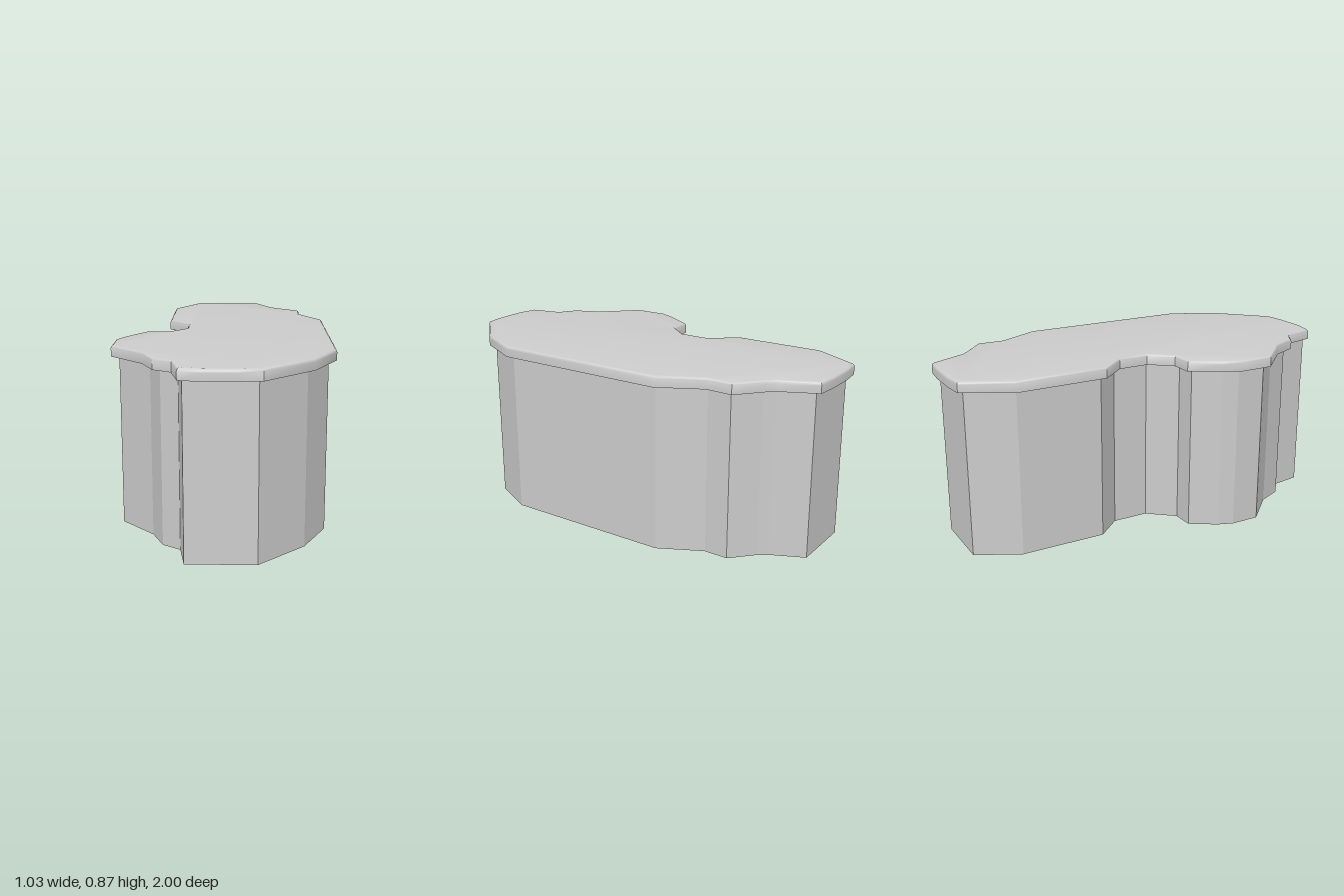
import * as THREE from 'three';
import { toCreasedNormals, mergeGeometries } from 'three/addons/utils/BufferGeometryUtils.js';

// Plan outlines as [x, z], running counter-clockwise seen from above
const WALL = [
  [0.158, 0.96], [0.37, 0.75], [0.478, 0.53], [0.478, -0.325], [0.37, -0.535], [0.373, -0.655],
  [0.265, -0.755], [0.232, -0.8], [0.157, -0.96], [-0.161, -0.96], [-0.27, -0.75], [-0.27, -0.325],
  [-0.163, -0.2], [-0.163, -0.02], [-0.27, 0.107], [-0.375, 0.11], [-0.455, 0.235], [-0.483, 0.31],
  [-0.483, 0.455], [-0.325, 0.62], [-0.27, 0.745], [-0.187, 0.8], [-0.162, 0.96],
];
const LID = [
  [0.07, 1], [0.175, 0.987], [0.4, 0.767], [0.514, 0.54], [0.514, -0.335], [0.405, -0.545], [0.41, -0.678],
  [0.29, -0.78], [0.258, -0.815], [0.175, -0.99], [0.07, -1], [-0.08, -1], [-0.18, -0.99], [-0.306, -0.76],
  [-0.304, -0.31], [-0.198, -0.185], [-0.198, -0.035], [-0.285, 0.071], [-0.395, 0.074], [-0.486, 0.22],
  [-0.52, 0.3], [-0.52, 0.47], [-0.357, 0.638], [-0.302, 0.767], [-0.216, 0.82], [-0.182, 0.977], [-0.08, 1],
];
const RIM = 0.815, TOP = 0.868;

// Move an outline inward by d with mitred corners
function inset(points, d) {
  const n = points.length;
  const normals = points.map(([x, z], i) => {
    const [x2, z2] = points[(i + 1) % n];
    return new THREE.Vector2(z - z2, x2 - x).normalize();
  });
  return points.map(([x, z], i) => {
    const a = normals[(i + n - 1) % n], b = normals[i];
    const k = d / (1 + a.dot(b));
    return [x - (a.x + b.x) * k, z - (a.y + b.y) * k];
  });
}

// Side faces through stacked rings { y, points }
function loft(rings) {
  const pos = [];
  for (let r = 0; r < rings.length - 1; r++) {
    const lo = rings[r], hi = rings[r + 1], n = lo.points.length;
    for (let i = 0; i < n; i++) {
      const j = (i + 1) % n;
      const at = (ring, k) => [ring.points[k][0], ring.y, ring.points[k][1]];
      const a = at(lo, i), b = at(lo, j), c = at(hi, j), d = at(hi, i);
      pos.push(...a, ...b, ...c, ...a, ...c, ...d);
    }
  }
  const geo = new THREE.BufferGeometry();
  geo.setAttribute('position', new THREE.Float32BufferAttribute(pos, 3));
  geo.computeVertexNormals();
  return geo;
}

// Flat face filling an outline at height y
function cap(points, y, up) {
  const shape = new THREE.Shape(points.map(([x, z]) => new THREE.Vector2(x, -z)));
  const geo = new THREE.ShapeGeometry(shape).rotateX(-Math.PI / 2).translate(0, y, 0);
  if (!up) geo.index.array.reverse();
  const flat = geo.toNonIndexed();
  flat.deleteAttribute('uv');
  flat.computeVertexNormals();
  return flat;
}

export function createModel() {
  const group = new THREE.Group();

  // Hollow wall, open underneath
  const wall = new THREE.Mesh(
    loft([{ y: 0, points: WALL }, { y: RIM, points: WALL }]),
    new THREE.MeshStandardMaterial({ color: 0xcccccc, flatShading: true, side: THREE.DoubleSide }),
  );
  wall.name = 'wall';
  group.add(wall);

  // Overhanging lid with a rounded upper edge
  const radius = 0.016, steps = 4;
  const rings = [{ y: RIM, points: LID }];
  for (let i = 0; i <= steps; i++) {
    const t = (i / steps) * Math.PI / 2;
    rings.push({
      y: TOP - radius + radius * Math.sin(t),
      points: inset(LID, radius * (1 - Math.cos(t))),
    });
  }
  const parts = [loft(rings), cap(rings[rings.length - 1].points, TOP, true), cap(LID, RIM, false)];
  const lid = new THREE.Mesh(
    toCreasedNormals(mergeGeometries(parts), 0.6),
    new THREE.MeshStandardMaterial({ color: 0xcccccc }),
  );
  lid.name = 'lid';
  group.add(lid);

  return group;
}
